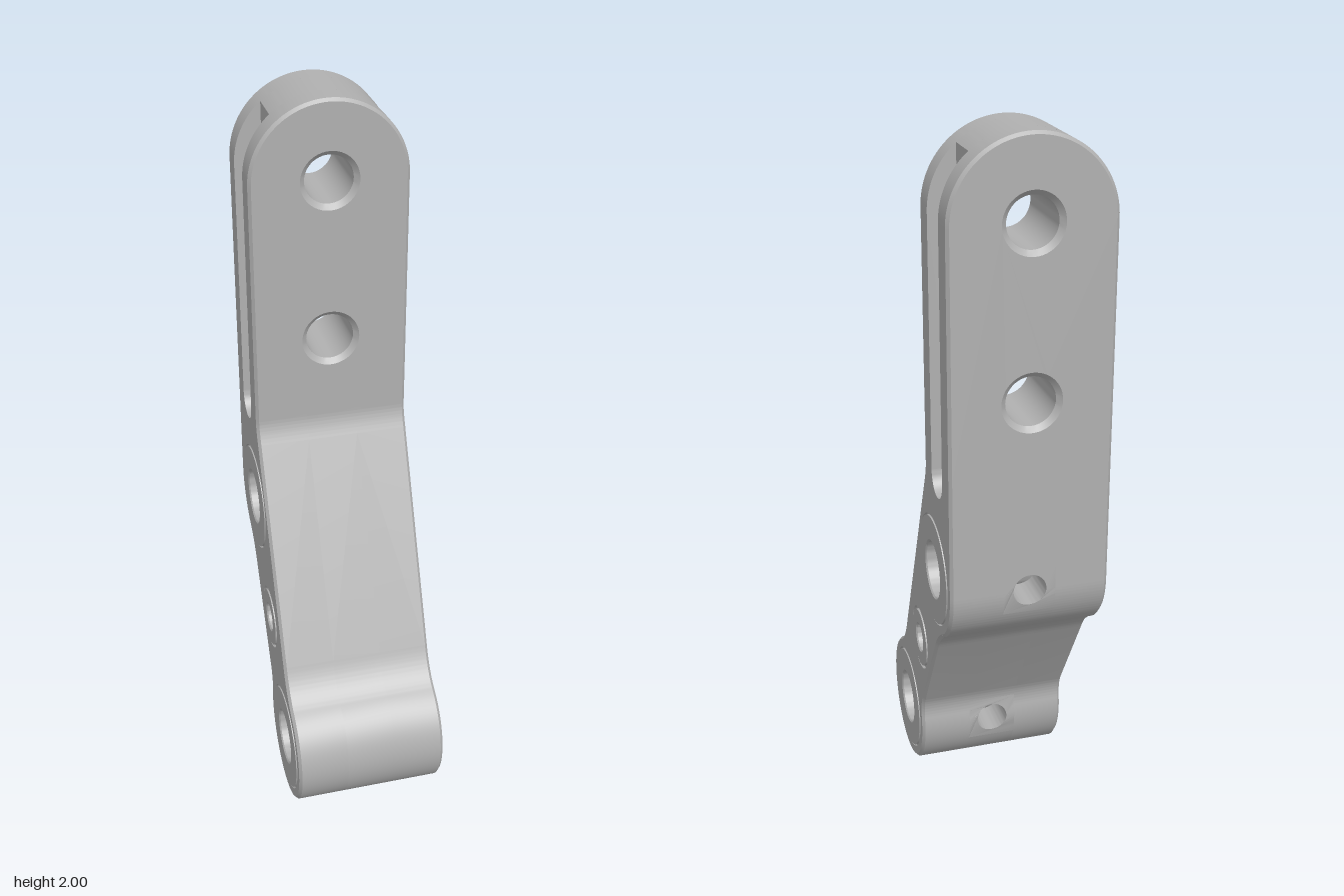
import * as THREE from 'three';
import { toCreasedNormals } from 'three/addons/utils/BufferGeometryUtils.js';

const W = 0.215, C = 0.008;            // half width, edge chamfer
const FRONT = -0.108, BACK = -0.363;   // upright faces
const SPLIT = 1.15, TOP = 1.785;       // upright start, centre of the round top
const SLOT_X = 0.14, SLOT_F = -0.18, SLOT_B = -0.29, SLOT_Y = 1.105;
const rad = THREE.MathUtils.degToRad;
const V2 = (x, y) => new THREE.Vector2(x, y);
const V3 = (x, y, z) => new THREE.Vector3(x, y, z);

function arc(cx, cy, r, a0, a1, n) {
  return Array.from({ length: n + 1 }, (_, i) => {
    const a = a0 + (a1 - a0) * i / n;
    return V2(cx + r * Math.cos(a), cy + r * Math.sin(a));
  });
}

// surface between two polylines of equal length
function strip(a, b) {
  const index = [], n = a.length;
  for (let i = 0; i < n - 1; i++) index.push(i, i + 1, n + i, i + 1, n + i + 1, n + i);
  const g = new THREE.BufferGeometry().setFromPoints([...a, ...b]);
  g.setIndex(index);
  return toCreasedNormals(g, 0.5);
}

// filled outline with round holes [u, v, r], placed by a rule (u, v) -> point
function face(points, holes, place) {
  const shape = new THREE.Shape(points);
  for (const [u, v, r] of holes) shape.holes.push(new THREE.Path(arc(u, v, r, 0, Math.PI * 2, 48).slice(0, -1)));
  const g = new THREE.ShapeGeometry(shape), p = g.attributes.position;
  for (let i = 0; i < p.count; i++) {
    const q = place(p.getX(i), p.getY(i));
    p.setXYZ(i, q.x, q.y, q.z);
  }
  return toCreasedNormals(g, 0.5);
}

// side outline of the cranked lower arm as (z, y)
function armOutline() {
  const p = new THREE.Path();
  p.moveTo(FRONT, SPLIT);
  p.lineTo(FRONT, 1.1);
  p.quadraticCurveTo(FRONT, 1.075, -0.087, 1.035);
  p.lineTo(0.182, 0.448);
  p.quadraticCurveTo(0.213, 0.377, 0.2677, 0.3468);
  p.absarc(0.178, 0.185, 0.185, rad(61), rad(-190), true);
  p.quadraticCurveTo(0.0033, 0.259, -0.02, 0.297);
  p.lineTo(-0.188, 0.569);
  p.quadraticCurveTo(-0.2212, 0.622, -0.2677, 0.648);
  p.absarc(-0.178, 0.81, 0.185, rad(241), rad(180), true);
  p.lineTo(BACK, 0.88);
  p.lineTo(BACK, SPLIT);
  return p.getPoints(32).filter((q, i, all) => i === 0 || q.distanceTo(all[i - 1]) > 1e-4);
}

function inset(pts, d) {
  return pts.map((q, i) => {
    const t = pts[Math.min(i + 1, pts.length - 1)].clone().sub(pts[Math.max(i - 1, 0)]).normalize();
    return V2(q.x + t.y * d, q.y - t.x * d);
  });
}

// front outline of the upright as (x, y)
const uprightOutline = w => [V2(w, SPLIT), ...arc(0, TOP, w, 0, Math.PI, 64), V2(-w, SPLIT)];

export function createModel() {
  const model = new THREE.Group();
  const metal = new THREE.MeshStandardMaterial({ color: 0xb0b0b0, side: THREE.DoubleSide });
  metal.name = 'grey metal';
  const add = (parent, name, geo) => {
    const m = new THREE.Mesh(geo, metal);
    m.name = name;
    parent.add(m);
    return m;
  };
  const group = name => {
    const g = new THREE.Group();
    g.name = name;
    model.add(g);
    return g;
  };

  // cross bores: z, y, bore radius, bushing radius
  const bores = [[-0.178, 0.81, 0.078, 0.154], [0, 0.4975, 0.04, 0.092], [0.178, 0.185, 0.078, 0.154]];

  // lower arm
  const arm = group('lowerArm');
  const outer = armOutline(), inner = inset(outer, C);
  const atX = (pts, x) => pts.map(q => V3(x, q.y, q.x));
  const notch = arc((SLOT_F + SLOT_B) / 2, SLOT_Y, (SLOT_F - SLOT_B) / 2, Math.PI, Math.PI * 2, 24);
  const cheek = [...inner, V2(SLOT_B, SPLIT), ...notch, V2(SLOT_F, SPLIT)];
  const H = 0.07;
  for (const s of [-1, 1]) {
    add(arm, 'armCheek', face(cheek, bores.map(([z, y, , R]) => [z, y, R]), (u, v) => V3(s * W, v, u)));
    add(arm, 'armChamfer', strip(atX(inner, s * W), atX(outer, s * (W - C))));
    add(arm, 'armSkin', strip(atX(outer, s * (W - C)), atX(outer, s * H)));
  }

  // middle of the skin, with a cross-drilled hole behind each large bore
  let start = 0;
  for (const [zc, yc, rb] of [bores[2], bores[0]]) {
    const hit = outer.map((q, i) => (Math.abs(q.y - yc) < 0.0705 && q.x < zc - 0.15 ? i : -1)).filter(i => i >= 0);
    const first = hit[0], last = hit[hit.length - 1];
    const run = outer.slice(start, first + 1), win = outer.slice(first, last + 1);
    start = last;
    add(arm, 'armSkin', strip(atX(run, -H), atX(run, H)));
    const zAt = y => {
      let i = 0;
      while (i < win.length - 2 && win[i + 1].y < y) i++;
      const t = (y - win[i].y) / (win[i + 1].y - win[i].y);
      return win[i].x + (win[i + 1].x - win[i].x) * t;
    };
    const edge = [...win.map(q => V2(H, q.y)), ...win.map(q => V2(-H, q.y)).reverse()];
    add(arm, 'drilledSkin', face(edge, [[0, yc, 0.045]], (x, y) => V3(x, y, zAt(y))));
    const ring = arc(0, yc, 0.045, 0, Math.PI * 2, 48);
    add(arm, 'rearHole', strip(
      ring.map(q => V3(q.x, q.y, zAt(q.y))),
      ring.map(q => V3(q.x, q.y, zc - Math.sqrt(rb * rb - (q.y - yc) ** 2)))));
  }
  const rest = outer.slice(start);
  add(arm, 'armSkin', strip(atX(rest, -H), atX(rest, H)));

  // bushings with a fine groove around them
  for (const [z, y, r, R] of bores) {
    const g = R > 0.1 ? 0.005 : 0.009;
    const half = [[r, W - 0.002], [r + 0.004, W + 0.002], [R - g, W + 0.002], [R - g, W - 0.008], [R, W - 0.008], [R, W]];
    const profile = [...half.map(([a, b]) => V2(a, -b)).reverse(), ...half.map(([a, b]) => V2(a, b))];
    const m = add(arm, 'bushing', toCreasedNormals(new THREE.LatheGeometry(profile, 64), 0.5));
    m.rotation.z = Math.PI / 2;
    m.position.set(0, y, z);
  }

  // upright: faces, chamfers and skin in front of and behind the side slots
  const upright = group('upright');
  const atZ = (pts, z) => pts.map(q => V3(q.x, q.y, z));
  const full = uprightOutline(W), small = uprightOutline(W - C);
  const holeYs = [1.335, TOP];
  for (const [z, s, wall] of [[FRONT, -1, SLOT_F], [BACK, 1, SLOT_B]]) {
    add(upright, 'uprightFace', face(small, holeYs.map(y => [0, y, 0.08]), (x, y) => V3(x, y, z)));
    add(upright, 'uprightChamfer', strip(atZ(small, z), atZ(full, z + s * C)));
    add(upright, 'uprightSkin', strip(atZ(full, z + s * C), atZ(full, wall)));
  }

  // web crown between the slots
  const a = Math.acos(SLOT_X / W);
  const crown = arc(0, TOP, W, a, Math.PI - a, 32);
  add(upright, 'webCrown', strip(atZ(crown, SLOT_F), atZ(crown, SLOT_B)));

  // side slots, open at the top
  const slotWall = [V2(SLOT_X, SLOT_Y), V2(W, SLOT_Y), ...arc(0, TOP, W, 0, a, 24)];
  const slotTop = crown[0].y;
  const slotFloor = [...notch, V2(SLOT_F, slotTop), V2(SLOT_B, slotTop)];
  for (const s of [-1, 1]) {
    add(upright, 'slotFloor', face(slotFloor, [], (u, v) => V3(s * SLOT_X, v, u)));
    add(upright, 'slotEnd', strip(atX(notch, s * SLOT_X), atX(notch, s * W)));
    for (const z of [SLOT_F, SLOT_B]) add(upright, 'slotWall', face(slotWall, [], (x, y) => V3(s * x, y, z)));
  }

  // countersunk through holes
  const D = (FRONT - BACK) / 2;
  const bolt = [V2(0.08, -D), V2(0.066, -D + 0.014), V2(0.066, D - 0.014), V2(0.08, D)];
  for (const y of holeYs) {
    const m = add(upright, 'boltHole', toCreasedNormals(new THREE.LatheGeometry(bolt, 48), 0.5));
    m.rotation.x = Math.PI / 2;
    m.position.set(0, y, (FRONT + BACK) / 2);
  }
  return model;
}
